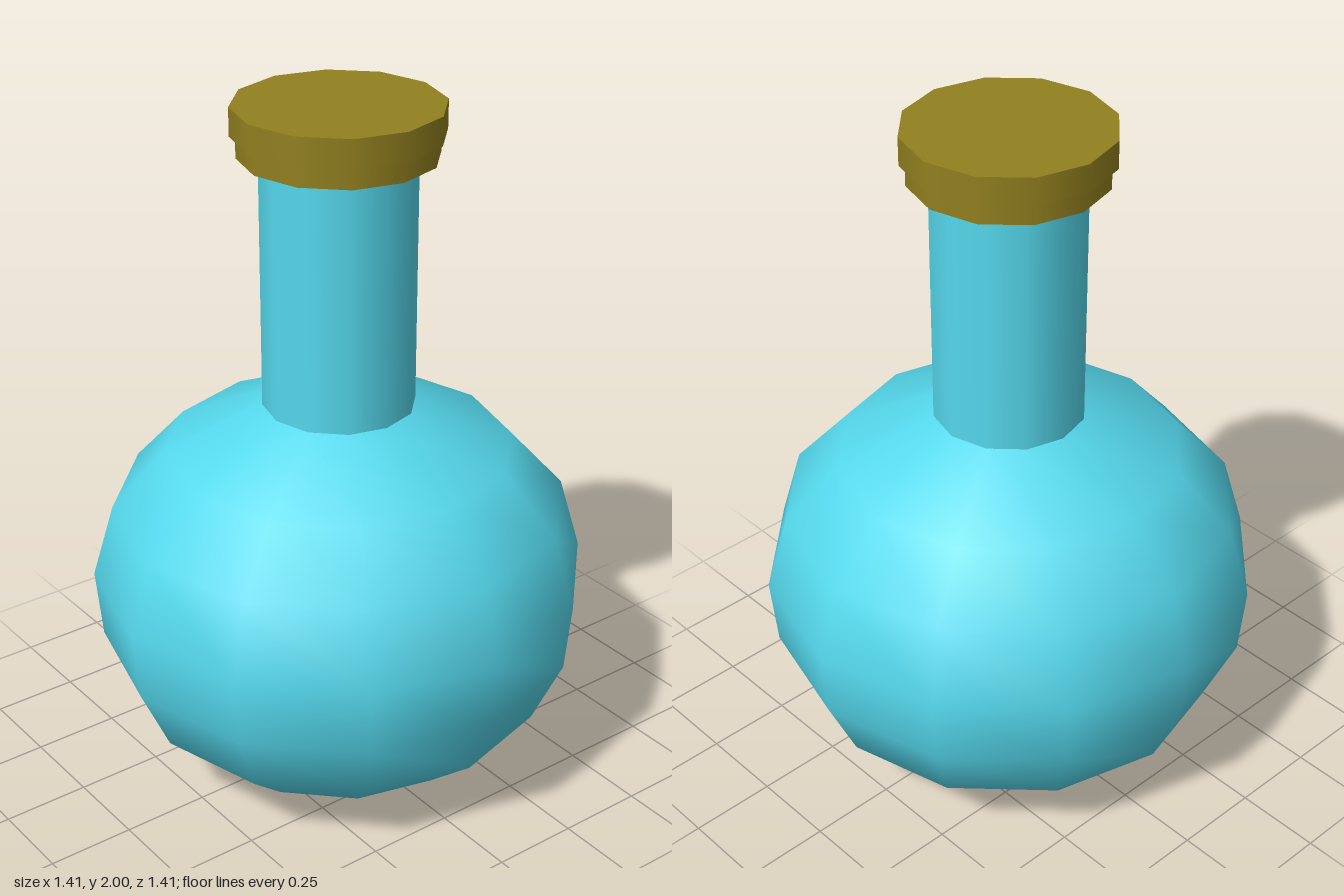
import * as THREE from 'three';

const SIDES = 12;

// One mesh per smooth run of a [radius, height] profile, so edges between runs stay sharp.
function turned(name, material, runs) {
  const part = new THREE.Group();
  part.name = name;
  for (const [runName, points] of Object.entries(runs)) {
    const profile = points.map(([r, y]) => new THREE.Vector2(r, y));
    const mesh = new THREE.Mesh(new THREE.LatheGeometry(profile, SIDES), material);
    mesh.name = runName;
    part.add(mesh);
  }
  return part;
}

export function createModel() {
  const model = new THREE.Group();
  model.name = 'flask';
  const glass = new THREE.MeshStandardMaterial({ color: 0x55d8ec });
  const cork = new THREE.MeshStandardMaterial({ color: 0x91801f });

  // Round flask with a flat base and a straight neck
  model.add(turned('bottle', glass, {
    base: [[0, 0], [0.215, 0]],
    bulb: [[0.215, 0], [0.43, 0.09], [0.6, 0.235], [0.688, 0.43], [0.706, 0.63],
      [0.645, 0.84], [0.49, 1.01], [0.215, 1.14]],
    neck: [[0.215, 1.14], [0.215, 1.85]],
    neckRim: [[0.215, 1.85], [0.185, 1.85]],
  }));

  // Stepped stopper with a short plug in the neck
  model.add(turned('stopper', cork, {
    plugBottom: [[0, 1.8], [0.185, 1.8]],
    plugSide: [[0.185, 1.8], [0.185, 1.86]],
    collarBottom: [[0.185, 1.86], [0.273, 1.86]],
    collarSide: [[0.273, 1.86], [0.273, 1.915]],
    capBottom: [[0.273, 1.915], [0.289, 1.92]],
    capSide: [[0.289, 1.92], [0.289, 2]],
    capTop: [[0.289, 2], [0, 2]],
  }));
  return model;
}
